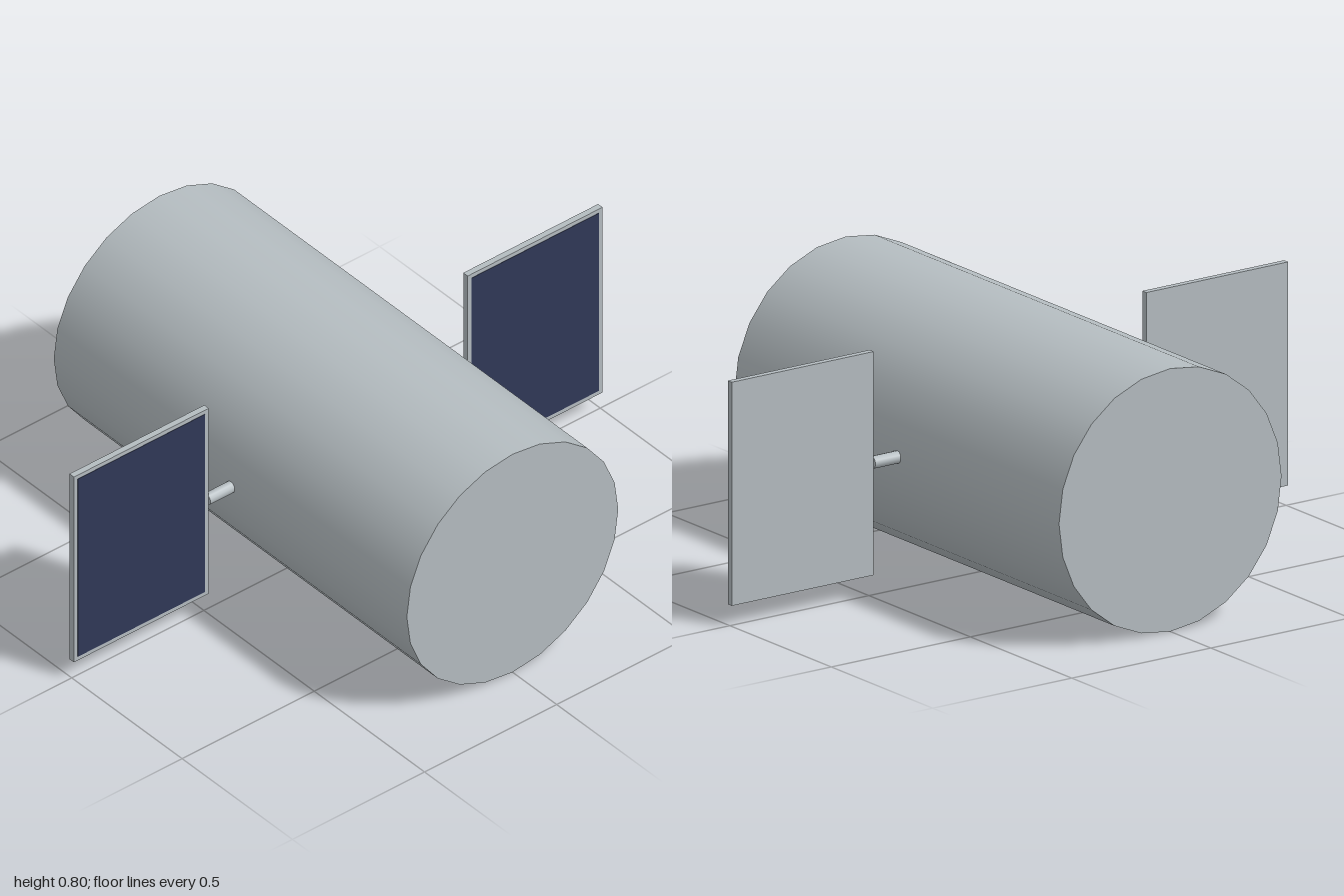
import * as THREE from 'three';

export function createModel() {
  const model = new THREE.Group();
  const hull = new THREE.MeshStandardMaterial({ color: 0xb4bcc0 });
  hull.name = 'hull grey';
  const cell = new THREE.MeshStandardMaterial({ color: 0x303857 });
  cell.name = 'solar blue';

  const add = (parent, name, geometry, material, x, y, z) => {
    const mesh = new THREE.Mesh(geometry, material);
    mesh.name = name;
    mesh.position.set(x, y, z);
    parent.add(mesh);
    return mesh;
  };

  // Main drum, lying along z
  const bodyGeometry = new THREE.CylinderGeometry(0.4, 0.4, 1.6, 24).rotateX(Math.PI / 2);
  add(model, 'body', bodyGeometry, hull, 0, 0.4, 0);

  // One wing per side: strut, framed panel and blue cells on the front
  const inner = 0.49, outer = 1, height = 0.68, thickness = 0.02, rim = 0.014;
  const width = outer - inner, middle = (inner + outer) / 2;
  for (const [label, side] of [['left', 1], ['right', -1]]) {
    const wing = new THREE.Group();
    wing.name = label + 'Wing';
    const strut = new THREE.CylinderGeometry(0.019, 0.019, 0.11, 12).rotateZ(Math.PI / 2);
    add(wing, 'strut', strut, hull, side * 0.435, 0.403, 0);
    add(wing, 'panel', new THREE.BoxGeometry(width, height, thickness), hull, side * middle, 0.403, 0);
    add(wing, 'solarCells', new THREE.BoxGeometry(width - 2 * rim, height - 2 * rim, 0.002), cell,
      side * middle, 0.403, thickness / 2);
    model.add(wing);
  }
  return model;
}
